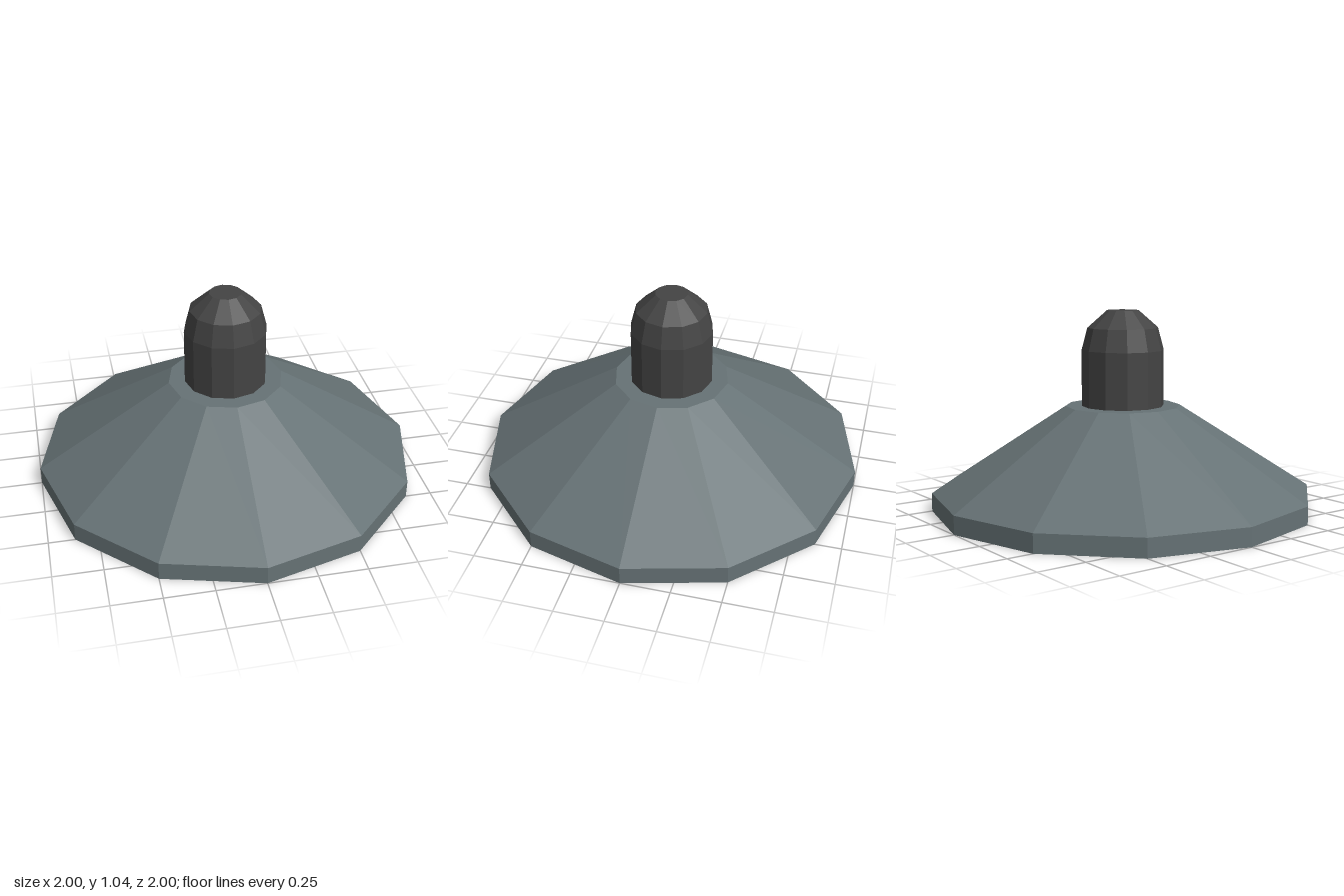
import * as THREE from 'three';

const SIDES = 12;

// Faceted thin shell turned from [radius, height] pairs, listed bottom to top
function shell(name, color, profile) {
  const points = profile.map(([r, y]) => new THREE.Vector2(r, y));
  const material = new THREE.MeshStandardMaterial({
    color, flatShading: true, side: THREE.DoubleSide,
  });
  const mesh = new THREE.Mesh(new THREE.LatheGeometry(points, SIDES), material);
  mesh.name = name;
  return mesh;
}

export function createModel() {
  const group = new THREE.Group();
  group.name = 'pendantLamp';

  // Open-bottomed conical shade with an upright rim and a flat collar
  group.add(shell('shade', 0x667275, [
    [1, 0], [1, 0.095], [0.3, 0.543], [0.215, 0.543],
  ]));

  // Hollow socket with a rounded, flat-topped end
  group.add(shell('socket', 0x444444, [
    [0.215, 0.543], [0.215, 0.835], [0.185, 0.95], [0.083, 1.04], [0, 1.04],
  ]));

  return group;
}
